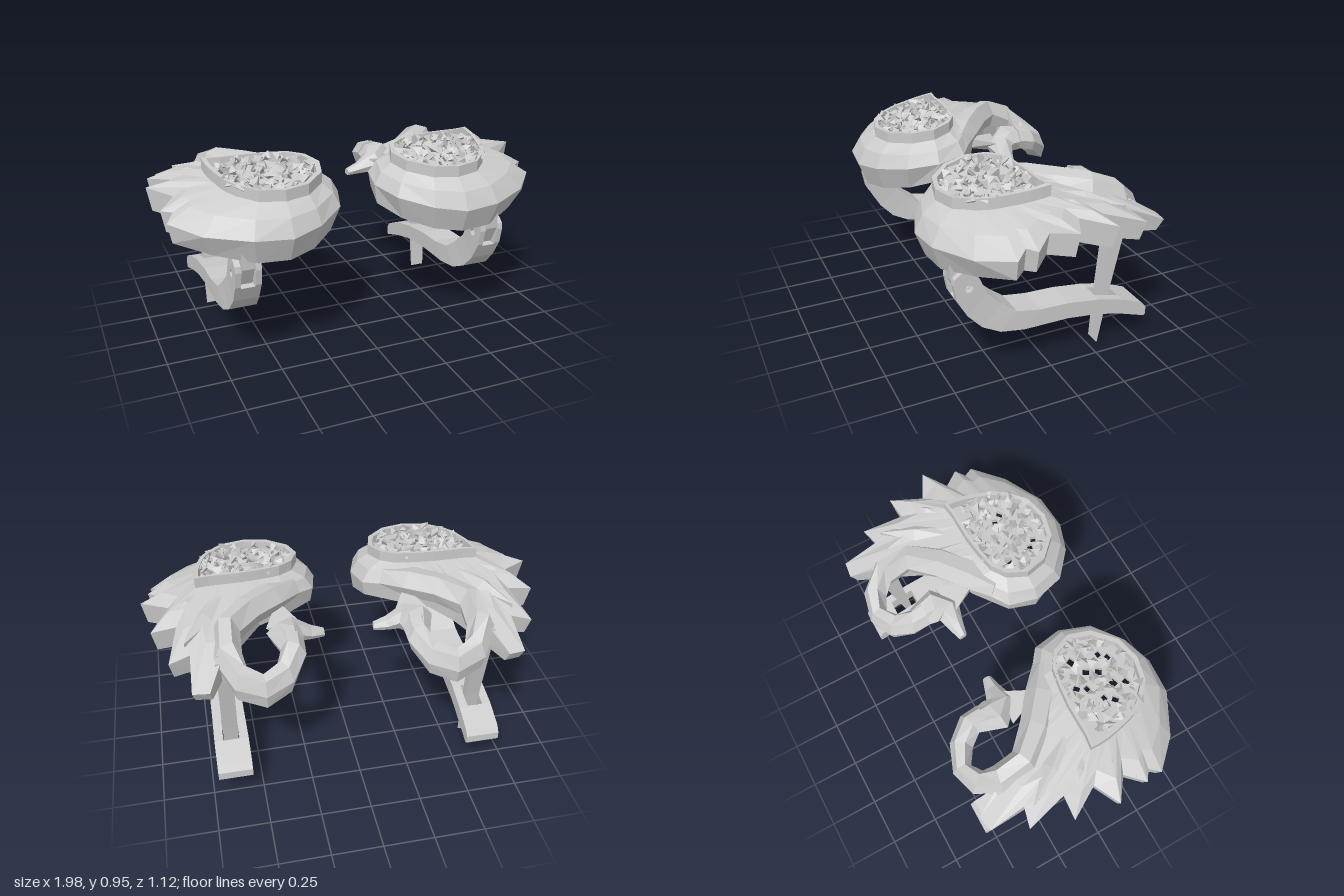
import * as THREE from 'three';
import { ConvexGeometry } from 'three/addons/geometries/ConvexGeometry.js';
import { mergeGeometries } from 'three/addons/utils/BufferGeometryUtils.js';

const V = (x, y, z) => new THREE.Vector3(x, y, z);
const mat = new THREE.MeshStandardMaterial({ color: 0xcccccc, flatShading: true, side: THREE.DoubleSide });
const CX = 0.635; // centre line of the clasp

let seed = 7;
const rnd = () => (seed = (seed * 16807) % 2147483647) / 2147483647;

// joins closed cross-sections into a skin
function loft(rings, caps = false) {
  const pos = [];
  const tri = (...p) => p.forEach(v => pos.push(v.x, v.y, v.z));
  for (let k = 0; k + 1 < rings.length; k++) {
    const A = rings[k], B = rings[k + 1], n = A.length;
    for (let i = 0; i < n; i++) {
      const j = (i + 1) % n;
      tri(A[i], B[i], B[j]);
      tri(A[i], B[j], A[j]);
    }
  }
  if (caps) {
    const A = rings[0], B = rings[rings.length - 1];
    for (let i = 1; i + 1 < A.length; i++) {
      tri(A[0], A[i], A[i + 1]);
      tri(B[0], B[i + 1], B[i]);
    }
  }
  const g = new THREE.BufferGeometry();
  g.setAttribute('position', new THREE.Float32BufferAttribute(pos, 3));
  g.computeVertexNormals();
  return g;
}

// heights of the pavé top and of the shell's lower edge along z
const topY = z => 0.945 - 0.13 * z;
const lowY = z => (z > 0 ? 0.72 - 0.27 * z : 0.72 + 0.16 * z);

// stations round the body: rim x, z, then outer x, y, z; feather tips and valleys alternate along the wing
const breast = [
  [0.30, 0.06, 0.30, 0.82, -0.06], [0.23, 0.11, 0.13, 0.78, 0.07], [0.19, 0.21, 0.10, 0.76, 0.22],
  [0.22, 0.32, 0.15, 0.74, 0.38], [0.32, 0.42, 0.29, 0.71, 0.50], [0.44, 0.45, 0.44, 0.69, 0.555],
  [0.56, 0.42, 0.62, 0.70, 0.54], [0.64, 0.34, 0.82, 0.71, 0.43],
];
const wing = [
  [0.67, 0.29, 0.95, 0.74, 0.29], [0.685, 0.25, 0.91, 0.77, 0.235], [0.695, 0.21, 0.96, 0.77, 0.20],
  [0.705, 0.17, 0.88, 0.80, 0.11], [0.715, 0.12, 0.99, 0.83, 0.025], [0.72, 0.07, 0.86, 0.83, -0.04],
  [0.72, 0.02, 0.95, 0.80, -0.19], [0.69, 0.025, 0.83, 0.81, -0.18], [0.65, 0.03, 0.88, 0.75, -0.385],
  [0.60, 0.03, 0.78, 0.77, -0.36], [0.55, 0.03, 0.79, 0.69, -0.545], [0.50, 0.03, 0.71, 0.69, -0.555],
  [0.46, 0.035, 0.63, 0.78, -0.40], [0.41, 0.04, 0.54, 0.83, -0.24], [0.35, 0.05, 0.43, 0.83, -0.11],
];
const stations = [...breast, ...wing];

function bodyShell() {
  const mid = V(0.47, 0, 0.2);
  const inward = (p, f, y) => V(p.x + (mid.x - p.x) * f, y, p.z + (mid.z - p.z) * f);
  const ring = f => stations.map(([rx, rz, ox, oy, oz]) => f(V(rx, topY(rz), rz), V(ox, oy, oz)));
  const shoulder = (r, o) => {
    const p = r.clone().lerp(o, 0.62);
    p.y = r.y - 0.05 + (o.y - r.y + 0.05) * 0.42;
    return p;
  };
  const tuck = o => (o.z > 0.33 ? 0.13 : 0.04);
  const edge = o => Math.min(lowY(o.z), o.y - 0.05);
  return loft([
    ring(r => inward(r, 0.1, r.y - 0.06)),
    ring(r => inward(r, 0.09, r.y)),
    ring(r => r),
    ring(r => V(r.x, r.y - 0.055, r.z)),
    ring(shoulder),
    ring((r, o) => o),
    ring((r, o) => inward(o, tuck(o), edge(o))),
    ring((r, o) => inward(o, tuck(o) + 0.04, edge(o) + 0.01)),
    ring((r, o) => inward(o, 0.12, o.y - 0.02)),
    ring((r, o) => { const p = shoulder(r, o); return inward(p, 0.08, p.y - 0.04); }),
    ring(r => inward(r, 0.08, r.y - 0.085)),
  ]);
}

// pierced plate and faceted stones
function pave() {
  const shape = new THREE.Shape(stations.map(([x, z]) => new THREE.Vector2(x, z)));
  const stones = [];
  const step = 0.052;
  for (let r = 0; r < 9; r++) for (let c = 0; c < 11; c++) {
    const x = 0.2 + c * step + (r % 2) * step / 2 + (rnd() - 0.5) * 0.012;
    const z = 0.07 + r * step * 0.87 + (rnd() - 0.5) * 0.012;
    const reach = ((x - 0.455) / 0.235) ** 2 + ((z - 0.22) / 0.19) ** 2;
    if (reach > 1) continue;
    if ((c + r * 2) % 3 === 0 && reach < 0.55) {
      const turn = rnd() * 6, rad = 0.02 + rnd() * 0.006;
      const corners = [0, 1, 2, 3].map(k => turn - k * Math.PI * 0.5);
      shape.holes.push(new THREE.Path(corners.map(a => new THREE.Vector2(x + rad * Math.cos(a), z + rad * Math.sin(a)))));
    } else {
      for (let k = 0; k < 2; k++) {
        const g = new THREE.TetrahedronGeometry(0.022 + rnd() * 0.012);
        g.rotateX(rnd() * 6).rotateY(rnd() * 6);
        g.translate(x + (rnd() - 0.5) * 0.03, topY(z) - 0.022 + rnd() * 0.014, z + (rnd() - 0.5) * 0.03);
        stones.push(g);
      }
    }
  }
  const plate = new THREE.ExtrudeGeometry(shape, { depth: 0.025, bevelEnabled: false });
  plate.rotateX(Math.PI / 2);
  const p = plate.attributes.position;
  for (let i = 0; i < p.count; i++) p.setY(i, topY(p.getZ(i)) - 0.045 + p.getY(i));
  return { plate, stones: mergeGeometries(stones) };
}

// flat covert feather lying on the wing, from base to tip
function covert(b, t, w) {
  const s = V(t.z - b.z, 0, b.x - t.x).normalize();
  const m = b.clone().lerp(t, 0.55).add(V(0, 0.025, 0));
  const at = (p, k, dy) => p.clone().addScaledVector(s, k).add(V(0, dy, 0));
  return new ConvexGeometry([
    at(b, w * 0.6, -0.01), at(b, -w * 0.6, -0.01), at(m, 0, 0),
    at(m, w, -0.03), at(m, -w, -0.03), t, at(t, 0, -0.03),
  ]);
}
const coverts = [
  [V(0.46, 0.88, 0.02), V(0.66, 0.79, -0.42), 0.045],
  [V(0.58, 0.88, 0.02), V(0.80, 0.81, -0.32), 0.05],
  [V(0.67, 0.88, 0.04), V(0.86, 0.83, -0.14), 0.045],
  [V(0.70, 0.86, 0.16), V(0.90, 0.83, 0.02), 0.04],
  [V(0.66, 0.82, 0.30), V(0.92, 0.79, 0.16), 0.04],
];

// swept cross-section: x, y, z, half width, half height
function sweep(path) {
  return loft(path.map(([x, y, z, w, h], i) => {
    const a = path[Math.max(i - 1, 0)], b = path[Math.min(i + 1, path.length - 1)];
    const S = V(b[0] - a[0], 0, b[2] - a[2]).normalize().cross(V(0, 1, 0));
    return [[1, -0.1], [0.5, 0.8], [-0.4, 1], [-1, 0], [-0.7, -0.9], [0.7, -1]]
      .map(([s, u]) => V(x + S.x * s * w, y + u * h, z + S.z * s * w));
  }), true);
}
const neckPath = [
  [0.24, 0.80, 0.06, 0.06, 0.06], [0.36, 0.82, -0.02, 0.085, 0.07], [0.49, 0.83, -0.13, 0.08, 0.07],
  [0.60, 0.82, -0.26, 0.068, 0.075], [0.61, 0.77, -0.40, 0.068, 0.075], [0.56, 0.68, -0.485, 0.06, 0.08],
  [0.46, 0.64, -0.52, 0.048, 0.08], [0.36, 0.67, -0.47, 0.058, 0.075], [0.305, 0.74, -0.39, 0.062, 0.06],
  [0.305, 0.76, -0.32, 0.062, 0.055],
];
const headPath = [
  [0.31, 0.75, -0.37, 0.055, 0.05], [0.325, 0.755, -0.26, 0.09, 0.06],
  [0.27, 0.74, -0.20, 0.07, 0.05], [0.19, 0.71, -0.205, 0.04, 0.028], [0.125, 0.695, -0.20, 0.022, 0.018],
];

// side profiles (z, y) extruded across x
function slab(points, x0, x1, hole) {
  const shape = new THREE.Shape(points.map(([z, y]) => new THREE.Vector2(-z, y)));
  if (hole) shape.holes.push(new THREE.Path().absarc(-hole[0], hole[1], 0.02, 0, Math.PI * 2, true));
  const g = new THREE.ExtrudeGeometry(shape, { depth: x1 - x0, bevelEnabled: false, curveSegments: 3 });
  return g.rotateY(Math.PI / 2).translate(x0, 0, 0);
}
const hinge = [0.4, 0.5];
const knuckle = [[0.475, 0.53], [0.46, 0.45], [0.41, 0.36], [0.31, 0.45], [0.35, 0.54], [0.37, 0.575], [0.40, 0.588], [0.44, 0.582], [0.47, 0.56]];

// lever stations: top z, y, bottom z, y, half width
const lever = [
  [0.31, 0.45, 0.41, 0.36, 0.063], [0.24, 0.385, 0.34, 0.285, 0.068], [0.17, 0.33, 0.25, 0.24, 0.076],
  [0.05, 0.31, 0.13, 0.222, 0.08], [-0.1, 0.305, -0.1, 0.22, 0.08], [-0.27, 0.282, -0.27, 0.2, 0.082],
  [-0.40, 0.25, -0.40, 0.168, 0.085], [-0.52, 0.2, -0.535, 0.122, 0.085], [-0.545, 0.17, -0.545, 0.13, 0.085],
];
const SLOT = 0.04;
// one lengthwise strip of the lever, between two offsets from its centre line
const strip = (list, from, to) => loft(list.map(([zt, yt, zb, yb, w]) => {
  const a = CX + from(w), b = CX + to(w);
  return [V(b, yb, zb), V(b, yt, zt), V(a, yt, zt), V(a, yb, zb)];
}), true);

function mirrored(g) {
  const m = g.clone();
  const p = m.attributes.position;
  const c = i => V().fromBufferAttribute(p, i);
  m.scale(-1, 1, 1);
  for (let i = 0; i < p.count; i += 3) {
    const a = c(i + 1), b = c(i + 2);
    p.setXYZ(i + 1, b.x, b.y, b.z);
    p.setXYZ(i + 2, a.x, a.y, a.z);
  }
  m.computeVertexNormals();
  return m;
}

export function createModel() {
  const root = new THREE.Group();
  root.name = 'swanEarrings';
  const { plate, stones } = pave();
  const parts = [
    ['bodyShell', bodyShell()], ['pavePlate', plate], ['paveStones', stones],
    ...coverts.map(f => ['feather', covert(...f)]),
    ['neck', sweep(neckPath)], ['head', sweep(headPath)],
    ['chin', new ConvexGeometry([V(0.24, 0.76, -0.18), V(0.41, 0.76, -0.21), V(0.32, 0.69, -0.2), V(0.33, 0.79, -0.02), V(0.33, 0.73, -0.03)])],
    ['pinPost', slab([[-0.345, 0.76], [-0.335, 0.62], [-0.31, 0.28], [-0.297, 0], [-0.302, 0], [-0.35, 0.28], [-0.42, 0.63], [-0.44, 0.76]], 0.597, 0.672)],
    ['hingeBracket', slab([[0.48, 0.66], [0.475, 0.54], [0.43, 0.45], [0.37, 0.45], [0.35, 0.58], [0.36, 0.70]], 0.607, 0.665, hinge)],
    ...[[0.572, 0.6], [0.67, 0.698]].map(x => ['leverKnuckle', slab(knuckle, ...x, hinge)]),
    ['knuckleWeb', slab([[0.455, 0.44], [0.41, 0.36], [0.31, 0.45]], 0.6, 0.67)],
    ['leverCheek', strip(lever, w => -w, () => -SLOT)],
    ['leverCheek', strip(lever, () => SLOT, w => w)],
    ['leverCore', strip(lever.slice(0, 6), () => -SLOT, () => SLOT)],
    ['leverTip', strip(lever.slice(6), () => -SLOT, () => SLOT)],
  ];
  for (const side of ['left', 'right']) {
    const earring = new THREE.Group();
    earring.name = side + 'Earring';
    for (const [name, g] of parts) {
      const mesh = new THREE.Mesh(side === 'left' ? g : mirrored(g), mat);
      mesh.name = name;
      earring.add(mesh);
    }
    root.add(earring);
  }
  return root;
}
